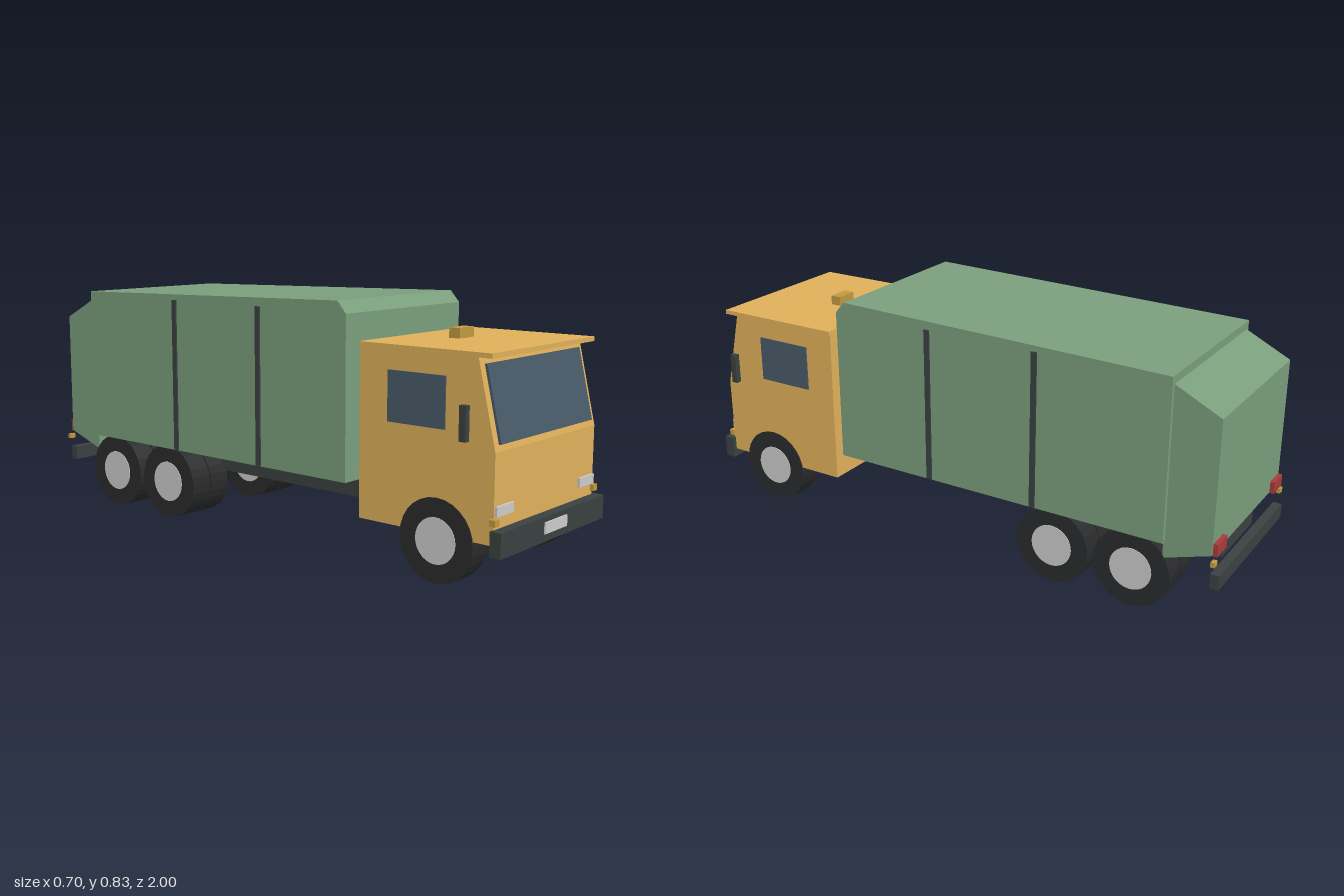
import * as THREE from 'three';

const mat = (color) => new THREE.MeshStandardMaterial({ color, flatShading: true });

export function createModel() {
  const truck = new THREE.Group();
  truck.name = 'refuseTruck';
  const orange = mat(0xe0b05a), green = mat(0x7a9e7c), dark = mat(0x3a4140);
  const glass = mat(0x485a68), tyreMat = mat(0x2a2b2c), silver = mat(0xcccccc);
  const amber = mat(0xc09a40), red = mat(0xa83a3a), lamp = mat(0xe0e2e0);

  const add = (name, geometry, material) => {
    const mesh = new THREE.Mesh(geometry, material);
    mesh.name = name;
    truck.add(mesh);
    return mesh;
  };
  // box given by its limits on each axis
  const box = (name, material, x0, x1, y0, y1, z0, z1) => {
    const mesh = add(name, new THREE.BoxGeometry(x1 - x0, y1 - y0, z1 - z0), material);
    mesh.position.set((x0 + x1) / 2, (y0 + y1) / 2, (z0 + z1) / 2);
    return mesh;
  };
  // the same box on both sides
  const pair = (name, material, x0, x1, ...rest) => {
    box(name + 'Left', material, x0, x1, ...rest);
    box(name + 'Right', material, -x1, -x0, ...rest);
  };
  // side profile of [z, y] points, extruded across the width
  const profile = (name, material, points, halfWidth) => {
    const shape = new THREE.Shape(points.map(([z, y]) => new THREE.Vector2(z, y)));
    const geometry = new THREE.ExtrudeGeometry(shape, { depth: halfWidth * 2, bevelEnabled: false });
    geometry.translate(0, 0, -halfWidth).rotateY(-Math.PI / 2);
    return add(name, geometry, material);
  };

  // chassis and bumpers
  box('chassis', dark, -0.135, 0.135, 0.17, 0.25, -0.95, 0.9);
  box('frontBumper', dark, -0.31, 0.31, 0.125, 0.203, 0.957, 0.995);
  box('frontPlate', silver, -0.066, 0.066, 0.15, 0.186, 0.99, 1);
  box('rearBumper', dark, -0.285, 0.285, 0.14, 0.19, -1, -0.97);

  // cab with sloped front
  profile('cab', orange, [[0.465, 0.155], [0.96, 0.155], [0.96, 0.43], [0.895, 0.705], [0.465, 0.705]], 0.295);
  box('cabRoof', orange, -0.3, 0.3, 0.7, 0.715, 0.465, 0.945);
  box('beacon', amber, -0.04, 0.04, 0.715, 0.748, 0.62, 0.66);
  const windscreen = box('windscreen', glass, -0.27, 0.27, 0.447, 0.683, -0.006, 0.006);
  windscreen.position.z = 0.931;
  windscreen.rotation.x = -Math.atan2(0.065, 0.275);
  pair('sideWindow', glass, 0.29, 0.299, 0.477, 0.637, 0.575, 0.787);
  pair('mirror', dark, 0.33, 0.35, 0.46, 0.566, 0.87, 0.893);
  pair('headlight', lamp, 0.198, 0.29, 0.241, 0.272, 0.955, 0.968);
  pair('frontIndicator', amber, 0.283, 0.307, 0.215, 0.236, 0.952, 0.972);

  // refuse body, ribs and rear hopper
  profile('body', green, [[-0.82, 0.262], [0.42, 0.262], [0.42, 0.797], [0.385, 0.836], [-0.82, 0.81]], 0.31);
  for (const z of [0.045, -0.358]) pair('bodyRib', dark, 0.305, 0.315, 0.264, 0.8, z - 0.01, z + 0.01);
  profile('hopper', green, [[-0.975, 0.258], [-0.815, 0.205], [-0.815, 0.785], [-0.975, 0.705]], 0.295);
  pair('tailLight', red, 0.215, 0.29, 0.255, 0.297, -0.99, -0.97);
  pair('rearIndicator', amber, 0.285, 0.308, 0.226, 0.243, -0.99, -0.976);

  // wheels, doubled on the two rear axles
  const radius = 0.133;
  const tyreGeo = new THREE.CylinderGeometry(radius, radius, 0.084, 28).rotateZ(Math.PI / 2);
  const hubGeo = new THREE.CylinderGeometry(0.073, 0.073, 0.088, 28).rotateZ(Math.PI / 2);
  const wheel = (name, x, z) => {
    const group = new THREE.Group();
    group.name = name;
    const tyre = new THREE.Mesh(tyreGeo, tyreMat), hub = new THREE.Mesh(hubGeo, silver);
    tyre.name = 'tyre';
    hub.name = 'hub';
    group.add(tyre, hub);
    group.position.set(x, radius + 0.002, z);
    truck.add(group);
  };
  for (const side of [-1, 1]) {
    wheel('frontWheel', side * 0.256, 0.76);
    for (const z of [-0.425, -0.71]) {
      wheel('rearOuterWheel', side * 0.254, z);
      wheel('rearInnerWheel', side * 0.165, z);
    }
  }
  return truck;
}
